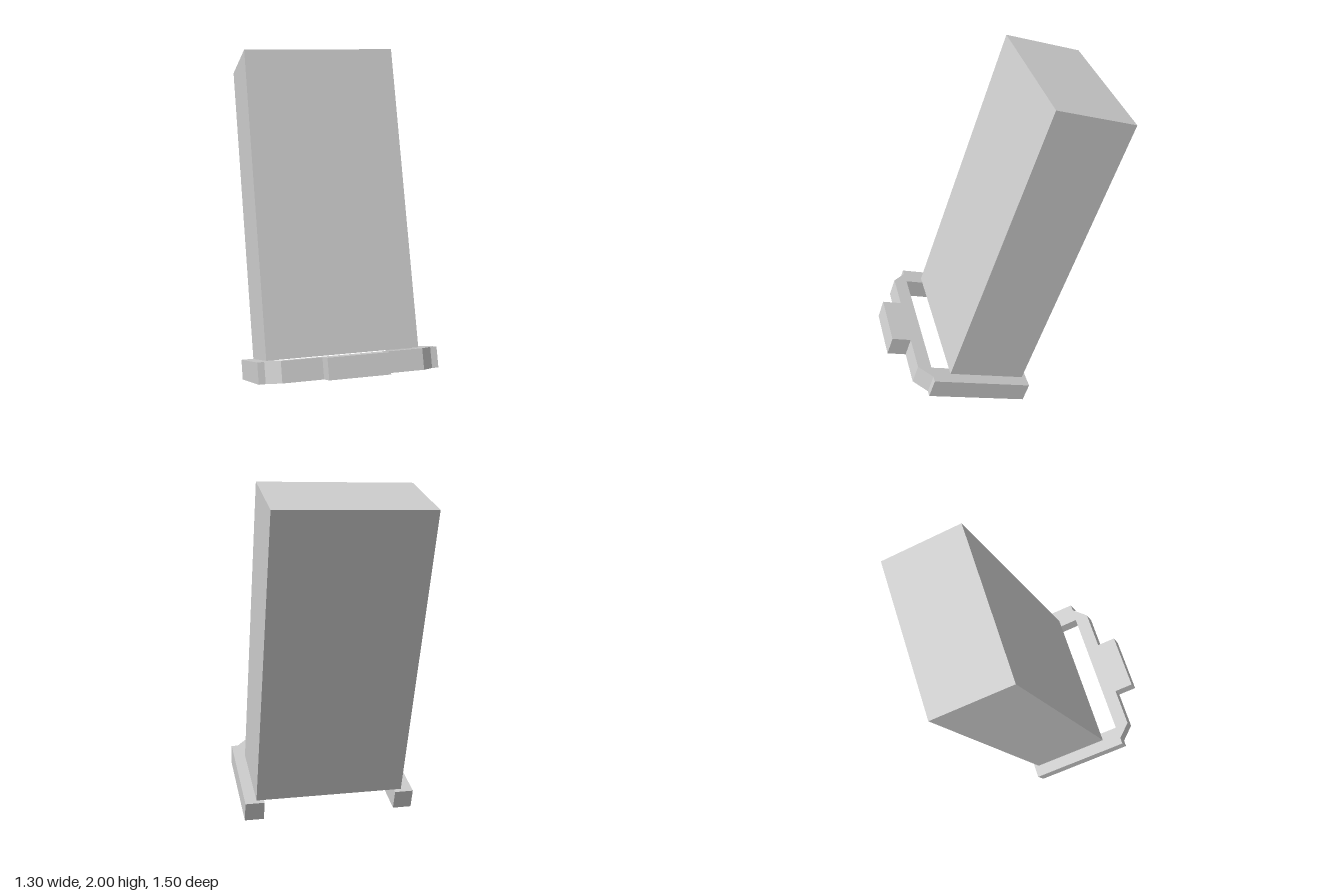
import * as THREE from 'three';

export function createModel() {
  const group = new THREE.Group();
  group.name = 'tiltedBlockOnBracket';
  const grey = new THREE.MeshStandardMaterial({ color: 0xcccccc });
  grey.name = 'light grey';

  // Everything is built upright, then turned and leaned back together
  const body = new THREE.Group();
  body.name = 'body';
  body.rotation.set(
    THREE.MathUtils.degToRad(-18.9), THREE.MathUtils.degToRad(-18), 0, 'YXZ');
  group.add(body);

  const centre = 0.015, deck = 0.137;

  // Tall block standing on the bracket
  const block = new THREE.Mesh(new THREE.BoxGeometry(0.911, 1.82, 0.476), grey);
  block.name = 'block';
  block.position.set(centre, deck + 0.91, 0.223);
  body.add(block);

  // U-shaped bracket with chamfered front corners and a front tab
  const half = [
    [0.175, 0.776], [0.175, 0.658], [0.409, 0.658], [0.487, 0.577],
    [0.526, 0.577], [0.526, -0.043], [0.41, -0.043], [0.41, 0.573],
  ];
  const outline = [
    ...half,
    ...half.map(([x, z]) => [-x, z]).reverse(),
  ].map(([x, z]) => new THREE.Vector2(x, z));
  const bracketGeometry = new THREE.ExtrudeGeometry(new THREE.Shape(outline), {
    depth: 0.121, bevelEnabled: false,
  });
  bracketGeometry.rotateX(Math.PI / 2);
  const bracket = new THREE.Mesh(bracketGeometry, grey);
  bracket.name = 'bracket';
  bracket.position.set(centre, deck, 0);
  body.add(bracket);

  return group;
}
